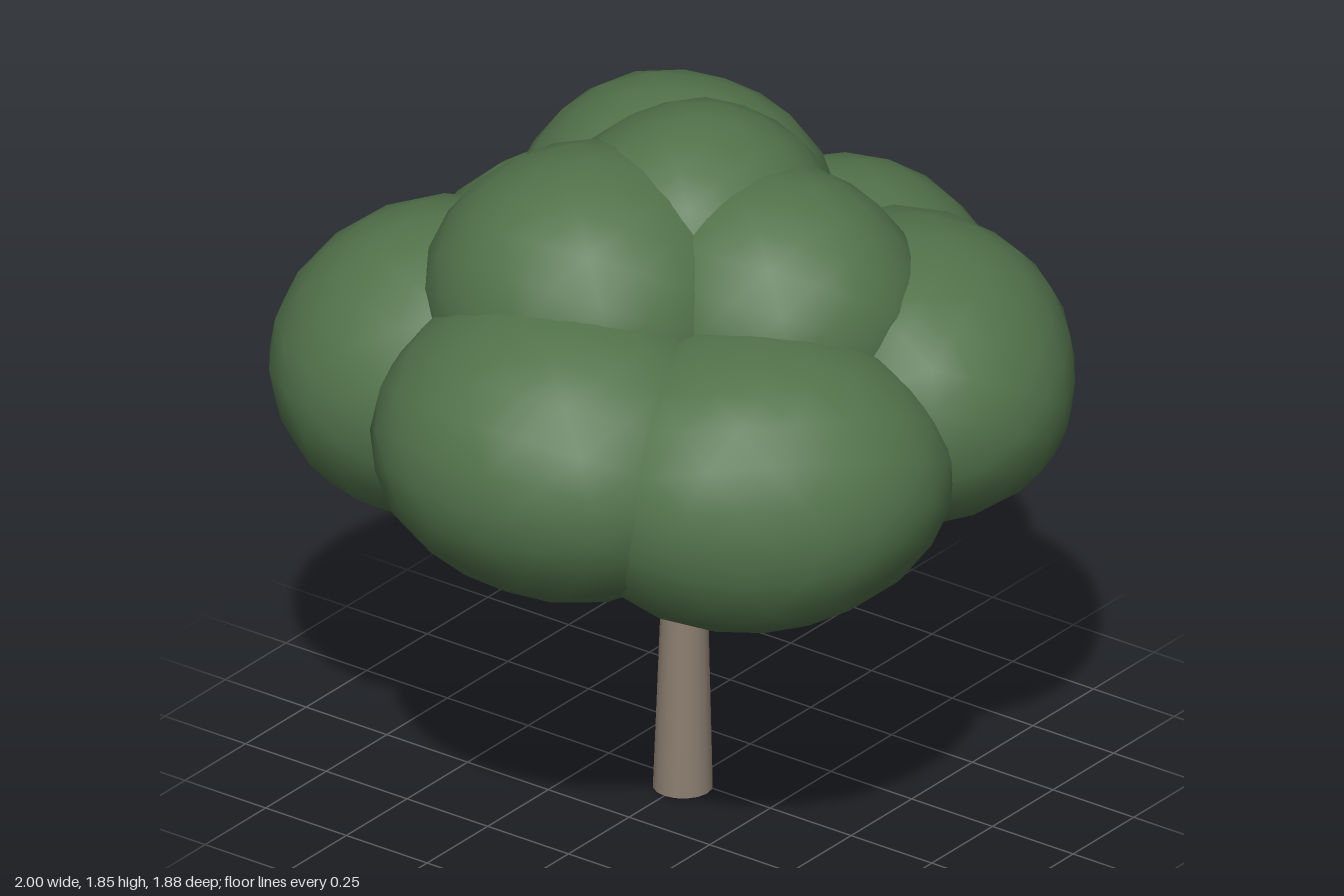
import * as THREE from 'three';
import { mergeVertices } from 'three/addons/utils/BufferGeometryUtils.js';

const foliage = new THREE.MeshStandardMaterial({ color: 0x52734b });
foliage.name = 'leaf green';
const bark = new THREE.MeshStandardMaterial({ color: 0x8b7d6f });
bark.name = 'bark brown';

// Tapered limb between two points
function limb(name, from, to, r0, r1, sides) {
  const a = new THREE.Vector3(...from), b = new THREE.Vector3(...to);
  const dir = b.clone().sub(a);
  const mesh = new THREE.Mesh(new THREE.CylinderGeometry(r1, r0, dir.length(), sides), bark);
  mesh.position.copy(a).add(b).multiplyScalar(0.5);
  mesh.quaternion.setFromUnitVectors(new THREE.Vector3(0, 1, 0), dir.normalize());
  mesh.name = name;
  return mesh;
}

// Lumpy, smooth-shaded leaf clump: a coarse ball with gentle waves, turned about y by yaw degrees
function clump(name, centre, radii, yaw, seed) {
  let geo = new THREE.IcosahedronGeometry(1, 3);
  geo.deleteAttribute('uv');
  geo.deleteAttribute('normal');
  geo = mergeVertices(geo, 1e-4);
  const p = geo.attributes.position;
  for (let i = 0; i < p.count; i++) {
    const x = p.getX(i), y = p.getY(i), z = p.getZ(i);
    const wave = 1 + 0.009 * (Math.sin(4 * x + 3 * y + seed * 2.1)
      + Math.sin(5 * z - 3 * y + seed * 1.3) * Math.cos(4 * x + seed));
    p.setXYZ(i, x * radii[0] * wave, y * radii[1] * wave, z * radii[2] * wave);
  }
  geo.computeVertexNormals();
  const mesh = new THREE.Mesh(geo, foliage);
  mesh.position.set(...centre);
  mesh.rotation.y = THREE.MathUtils.degToRad(yaw);
  mesh.name = name;
  return mesh;
}

export function createModel() {
  const tree = new THREE.Group();
  tree.name = 'tree';

  // Trunk, leaning very slightly, and four branches forking diagonally
  const fork = [-0.015, 0.615, 0];
  tree.add(limb('trunk', [-0.035, 0, 0.005], [-0.02, 0.64, 0], 0.075, 0.055, 16));
  [45, 135, 225, 315].forEach((deg, i) => {
    const a = THREE.MathUtils.degToRad(deg);
    const end = [fork[0] + 0.4 * Math.cos(a), 1.04, 0.4 * Math.sin(a)];
    tree.add(limb('branch' + (i + 1), fork, end, 0.04, 0.032, 10));
  });

  // Crown: a ring of six large clumps, three above it and a cap
  const crown = new THREE.Group();
  crown.name = 'crown';
  [
    ['leftClump', [0.56, 1.08, 0.02], [0.44, 0.38, 0.44], 0],
    ['rightClump', [-0.56, 1.175, 0.02], [0.44, 0.385, 0.49], 0],
    ['frontLeftClump', [0.25, 1.195, 0.49], [0.42, 0.375, 0.48], -45],
    ['frontRightClump', [-0.35, 1.125, 0.455], [0.42, 0.385, 0.5], 45],
    ['backLeftClump', [0.27, 1.075, -0.49], [0.44, 0.385, 0.46], 45],
    ['backRightClump', [-0.325, 1.16, -0.475], [0.47, 0.4, 0.43], -45],
    ['upperRightClump', [-0.27, 1.42, -0.105], [0.42, 0.385, 0.42], 0],
    ['upperLeftClump', [0.17, 1.42, -0.18], [0.41, 0.375, 0.42], 0],
    ['upperFrontClump', [-0.01, 1.395, 0.25], [0.39, 0.36, 0.41], 0],
    ['topClump', [0.01, 1.46, 0], [0.4, 0.385, 0.38], 0],
  ].forEach(([name, centre, radii, yaw], i) => crown.add(clump(name, centre, radii, yaw, i + 1)));
  tree.add(crown);

  return tree;
}
